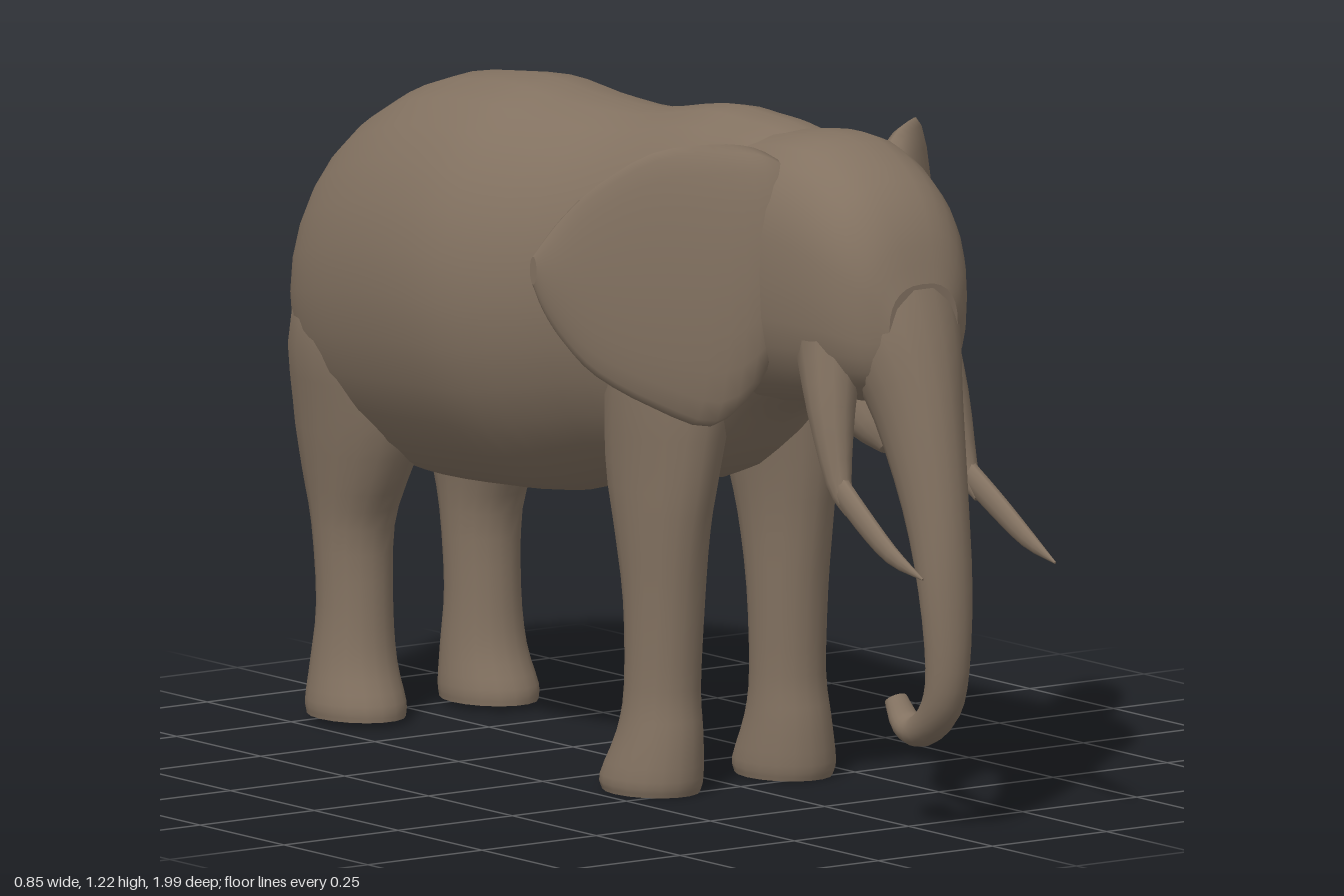
import * as THREE from 'three';

const hide = new THREE.MeshStandardMaterial({ color: 0x837261 });
hide.name = 'grey brown hide';

// Smooth loft through rings [x, y, z, radiusA, radiusB].
// axes: 'z' = rings across z, 'y' = rings across y (downward),
// 'x+' / 'x-' = rings across x, 'path' = rings square to the path.
// power below 1 makes the rings squarer.
function loft(name, rings, axes, steps = 3, sides = 18, power = 1) {
  const centres = new THREE.CatmullRomCurve3(rings.map(r => new THREE.Vector3(r[0], r[1], r[2])), false, 'catmullrom', 0.5);
  const radii = new THREE.CatmullRomCurve3(rings.map(r => new THREE.Vector3(r[3], r[4], 0)), false, 'catmullrom', 0.5);
  const n = (rings.length - 1) * steps;
  const X = new THREE.Vector3(1, 0, 0), Y = new THREE.Vector3(0, 1, 0), Z = new THREE.Vector3(0, 0, 1);
  const bend = v => Math.sign(v) * Math.abs(v) ** power;
  const pos = [], idx = [];
  for (let i = 0; i <= n; i++) {
    const c = centres.getPoint(i / n), r = radii.getPoint(i / n);
    let a = X, b = Y;
    if (axes === 'y') b = Z;
    if (axes === 'x+') { a = Y; b = Z; }
    if (axes === 'x-') { a = Y; b = Z.clone().negate(); }
    if (axes === 'path') {
      const t = centres.getTangent(i / n);
      b = t.clone().cross(X).normalize();
      a = b.clone().cross(t).normalize();
    }
    for (let j = 0; j < sides; j++) {
      const q = j / sides * Math.PI * 2;
      const p = c.clone()
        .addScaledVector(a, Math.max(r.x, 0.002) * bend(Math.cos(q)))
        .addScaledVector(b, Math.max(r.y, 0.002) * bend(Math.sin(q)));
      pos.push(p.x, p.y, p.z);
    }
  }
  for (let i = 0; i < n; i++) {
    for (let j = 0; j < sides; j++) {
      const k = (j + 1) % sides, u = i * sides, v = u + sides;
      idx.push(u + j, u + k, v + k, u + j, v + k, v + j);
    }
  }
  // End caps with their own vertices, so their edges stay sharp
  for (const end of [0, n]) {
    const base = pos.length / 3;
    pos.push(...pos.slice(end * sides * 3, (end + 1) * sides * 3));
    const c = centres.getPoint(end / n);
    pos.push(c.x, c.y, c.z);
    for (let j = 0; j < sides; j++) {
      const k = (j + 1) % sides;
      if (end) idx.push(base + j, base + k, base + sides);
      else idx.push(base + k, base + j, base + sides);
    }
  }
  const g = new THREE.BufferGeometry();
  g.setAttribute('position', new THREE.Float32BufferAttribute(pos, 3));
  g.setIndex(idx);
  g.computeVertexNormals();
  const mesh = new THREE.Mesh(g, hide);
  mesh.name = name;
  return mesh;
}

// Profile rows [z, top, bottom, halfWidth] to rings
const alongZ = rows => rows.map(([z, t, b, w]) => [0, (t + b) / 2, z, w, (t - b) / 2]);

export function createModel() {
  const model = new THREE.Group();
  model.name = 'elephant';

  model.add(loft('body', alongZ([
    [-0.895, 0.82, 0.7, 0.04], [-0.87, 0.93, 0.58, 0.135], [-0.8, 1.045, 0.5, 0.215],
    [-0.7, 1.12, 0.465, 0.258], [-0.55, 1.18, 0.455, 0.285], [-0.35, 1.205, 0.465, 0.302],
    [-0.2, 1.195, 0.48, 0.29], [0, 1.195, 0.535, 0.243], [0.2, 1.23, 0.56, 0.21],
    [0.31, 1.23, 0.62, 0.195], [0.4, 1.225, 0.7, 0.185], [0.5, 1.21, 0.74, 0.16],
  ]), 'z', 3, 28));

  model.add(loft('head', alongZ([
    [0.36, 1.205, 0.72, 0.17], [0.5, 1.225, 0.74, 0.185], [0.6, 1.215, 0.75, 0.177],
    [0.7, 1.16, 0.77, 0.155], [0.76, 1.085, 0.79, 0.12], [0.795, 0.99, 0.83, 0.075],
  ]), 'z', 3, 28, 0.8));

  // Trunk with its tip curled backwards
  model.add(loft('trunk', [
    [0, 1.02, 0.67, 0.13, 0.1], [0, 0.88, 0.73, 0.11, 0.1], [0, 0.76, 0.78, 0.078, 0.085],
    [0, 0.6, 0.83, 0.058, 0.062], [0, 0.45, 0.86, 0.05, 0.045], [0, 0.31, 0.866, 0.04, 0.038],
    [0, 0.235, 0.845, 0.037, 0.035], [0, 0.19, 0.79, 0.033, 0.03], [0, 0.195, 0.745, 0.03, 0.024],
    [0, 0.235, 0.712, 0.022, 0.018],
  ], 'path'));

  model.add(loft('lowerJaw', [
    [0, 0.86, 0.55, 0.12, 0.11], [0, 0.78, 0.62, 0.09, 0.07],
    [0, 0.72, 0.67, 0.06, 0.045], [0, 0.685, 0.7, 0.025, 0.02],
  ], 'path'));

  model.add(loft('tail', [
    [0, 0.96, -0.8, 0.05, 0.045], [0, 0.88, -0.89, 0.032, 0.025], [0, 0.79, -0.95, 0.018, 0.016],
    [0, 0.6, -0.972, 0.01, 0.009], [0, 0.44, -0.972, 0.01, 0.009],
    [0, 0.38, -0.98, 0.016, 0.018], [0, 0.3, -0.996, 0.003, 0.003],
  ], 'path', 3, 10));

  for (const [side, s] of [['left', 1], ['right', -1]]) {
    // Ear rooted on the temple, swept outwards and back
    const ear = [
      [0.11, 1.18, 0.9, 0.53, 0.05], [0.16, 1.21, 0.78, 0.505, 0.065], [0.22, 1.215, 0.71, 0.46, 0.06],
      [0.29, 1.195, 0.74, 0.38, 0.05], [0.35, 1.13, 0.79, 0.295, 0.04],
      [0.385, 1.075, 0.845, 0.25, 0.03], [0.41, 1.03, 0.9, 0.225, 0.02], [0.425, 1.0, 0.95, 0.21, 0.01],
    ].map(([x, t, b, z, d]) => [s * x, (t + b) / 2, z, (t - b) / 2, d]);
    model.add(loft(side + 'Ear', ear, s > 0 ? 'x+' : 'x-', 3, 20));

    // Tusk and the fleshy socket above it
    model.add(loft(side + 'TuskSocket', [
      [s * 0.1, 0.88, 0.65, 0.06, 0.07], [s * 0.125, 0.76, 0.69, 0.042, 0.045],
      [s * 0.138, 0.64, 0.73, 0.022, 0.026], [s * 0.141, 0.59, 0.77, 0.01, 0.012],
    ], 'path', 3, 12));
    model.add(loft(side + 'Tusk', [
      [s * 0.138, 0.64, 0.72, 0.016, 0.025], [s * 0.145, 0.585, 0.81, 0.014, 0.024],
      [s * 0.148, 0.535, 0.9, 0.011, 0.018], [s * 0.145, 0.503, 0.99, 0.002, 0.002],
    ], 'path', 3, 10));

    // Front leg from shoulder to foot
    model.add(loft(side + 'FrontLeg', [
      [s * 0.1, 0.98, 0.21, 0.08, 0.1], [s * 0.118, 0.78, 0.205, 0.095, 0.145],
      [s * 0.13, 0.6, 0.195, 0.081, 0.135], [s * 0.135, 0.48, 0.2, 0.073, 0.105],
      [s * 0.135, 0.35, 0.205, 0.068, 0.08], [s * 0.137, 0.2, 0.203, 0.066, 0.072],
      [s * 0.14, 0.12, 0.2, 0.073, 0.083], [s * 0.145, 0.04, 0.182, 0.085, 0.103],
      [s * 0.145, 0.012, 0.18, 0.08, 0.098],
    ], 'y'));

    // Hind leg from thigh to foot
    model.add(loft(side + 'HindLeg', [
      [s * 0.1, 0.95, -0.66, 0.07, 0.1], [s * 0.134, 0.74, -0.68, 0.115, 0.165],
      [s * 0.138, 0.58, -0.69, 0.1, 0.16], [s * 0.14, 0.46, -0.705, 0.082, 0.12],
      [s * 0.14, 0.36, -0.715, 0.07, 0.08], [s * 0.14, 0.22, -0.71, 0.066, 0.072],
      [s * 0.142, 0.12, -0.71, 0.073, 0.083], [s * 0.145, 0.05, -0.7, 0.083, 0.1],
      [s * 0.145, 0.022, -0.698, 0.08, 0.1],
    ], 'y'));
  }
  return model;
}
